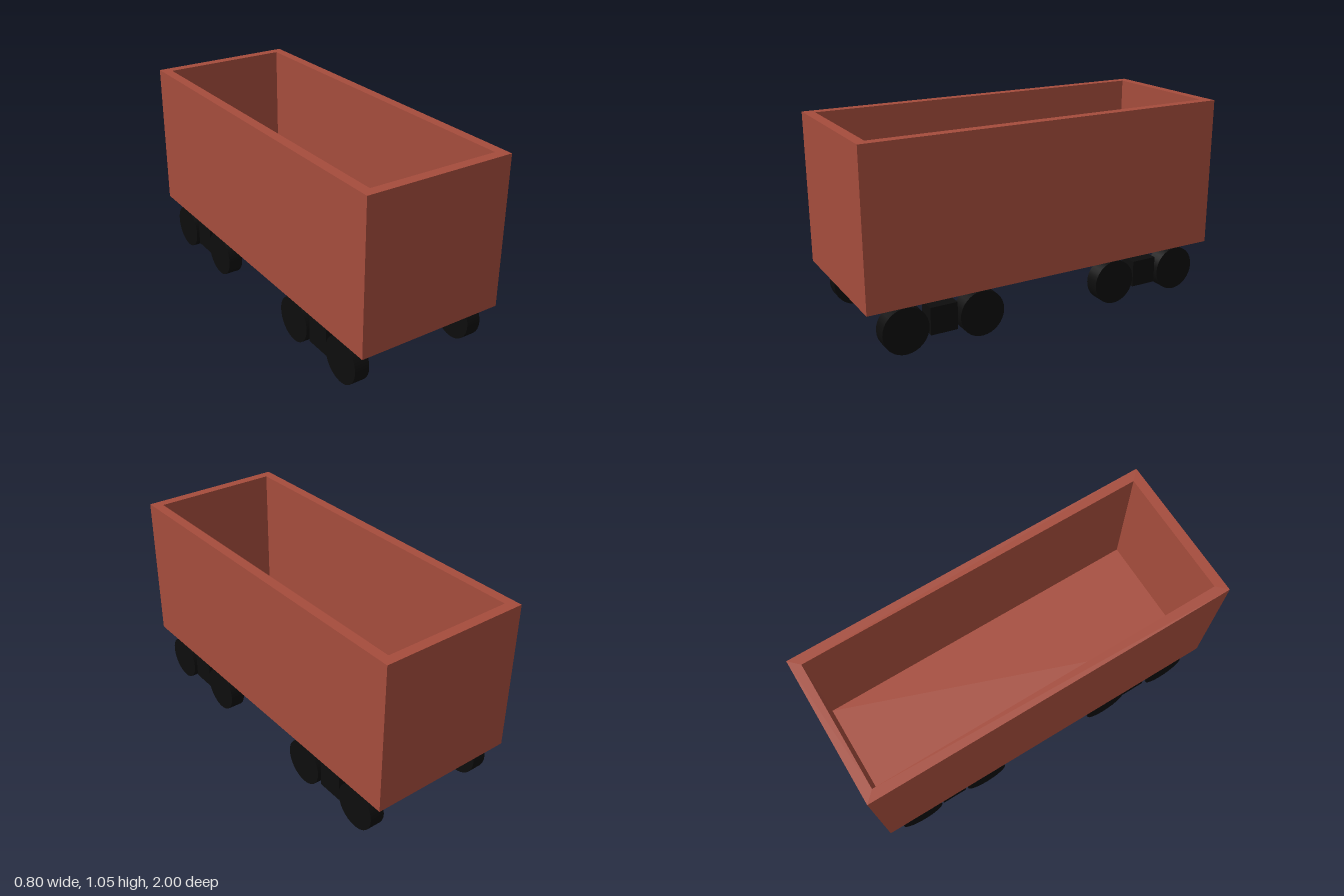
import * as THREE from 'three';

const paint = new THREE.MeshStandardMaterial({ color: 0xa54c3c });
const black = new THREE.MeshStandardMaterial({ color: 0x0d0d0d });

const WIDTH = 0.8, LENGTH = 2, WALL = 0.053, BASE = 0.25, TOP = 1.05, FLOOR = 0.05;

function addMesh(parent, name, geometry, material, x, y, z) {
  const mesh = new THREE.Mesh(geometry, material);
  mesh.name = name;
  mesh.position.set(x, y, z);
  parent.add(mesh);
  return mesh;
}

function rectangle(path, w, l) {
  path.moveTo(-w / 2, -l / 2);
  path.lineTo(w / 2, -l / 2);
  path.lineTo(w / 2, l / 2);
  path.lineTo(-w / 2, l / 2);
  path.closePath();
  return path;
}

// Open-topped wagon body: a floor slab and a ring of walls
function createBody() {
  const body = new THREE.Group();
  body.name = 'wagonBody';
  const outline = rectangle(new THREE.Shape(), WIDTH, LENGTH);
  outline.holes.push(rectangle(new THREE.Path(), WIDTH - 2 * WALL, LENGTH - 2 * WALL));
  const walls = new THREE.ExtrudeGeometry(outline, { depth: TOP - BASE, bevelEnabled: false });
  walls.rotateX(-Math.PI / 2);
  addMesh(body, 'walls', walls, paint, 0, BASE, 0);
  const floor = new THREE.BoxGeometry(WIDTH - 2 * WALL, FLOOR, LENGTH - 2 * WALL);
  addMesh(body, 'floor', floor, paint, 0, BASE + FLOOR / 2, 0);
  return body;
}

// Wheel pair with the axle block between them, on one side
function createBogie(side, z) {
  const bogie = new THREE.Group();
  bogie.name = (z > 0 ? 'front' : 'rear') + (side > 0 ? 'Left' : 'Right') + 'Bogie';
  const wheel = new THREE.CylinderGeometry(0.12, 0.12, 0.08, 32).rotateZ(Math.PI / 2);
  for (const offset of [-0.203, 0.203]) {
    addMesh(bogie, 'wheel', wheel, black, side * 0.34, 0.12, z + offset);
  }
  addMesh(bogie, 'axleBlock', new THREE.BoxGeometry(0.1, 0.144, 0.144), black, side * 0.32, 0.135, z);
  return bogie;
}

export function createModel() {
  const model = new THREE.Group();
  model.name = 'openWagon';
  model.add(createBody());
  for (const side of [-1, 1]) {
    for (const z of [-0.6, 0.6]) model.add(createBogie(side, z));
  }
  return model;
}
